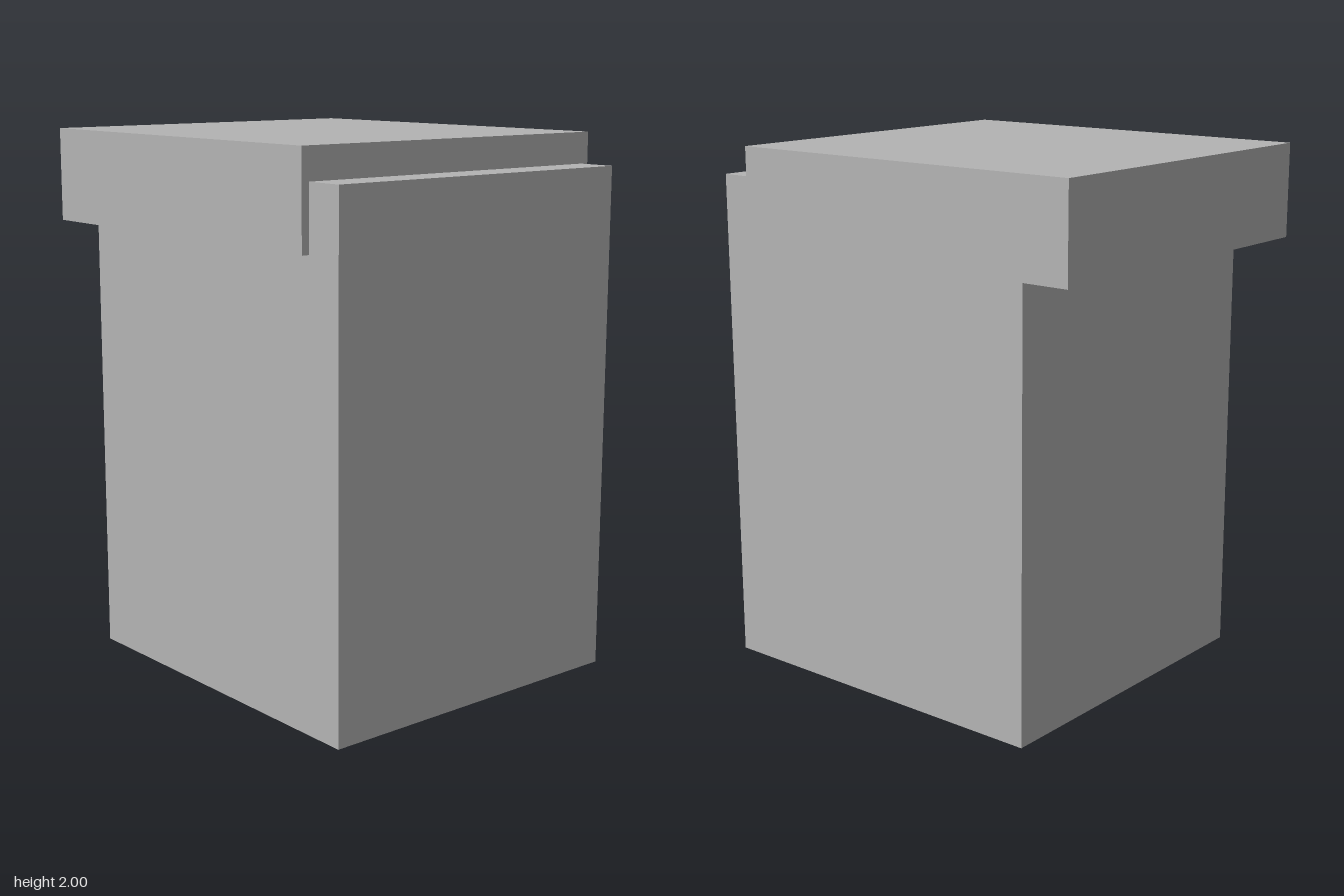
import * as THREE from 'three';

export function createModel() {
  const model = new THREE.Group();
  model.name = 'liddedBin';

  const grey = new THREE.MeshStandardMaterial({ color: 0xb4b4b4 });
  grey.name = 'light grey';

  // Box spanning two opposite corners
  const addBox = (name, [x0, y0, z0], [x1, y1, z1]) => {
    const mesh = new THREE.Mesh(new THREE.BoxGeometry(x1 - x0, y1 - y0, z1 - z0), grey);
    mesh.name = name;
    mesh.position.set((x0 + x1) / 2, (y0 + y1) / 2, (z0 + z1) / 2);
    model.add(mesh);
  };

  // Tall body, its front edge rising past the lid's underside
  addBox('body', [-0.645, 0, -0.6], [0.642, 1.885, 0.808]);
  // Overhanging lid, set back from the front
  addBox('lid', [-0.675, 1.65, -0.808], [0.675, 2, 0.66]);

  return model;
}
